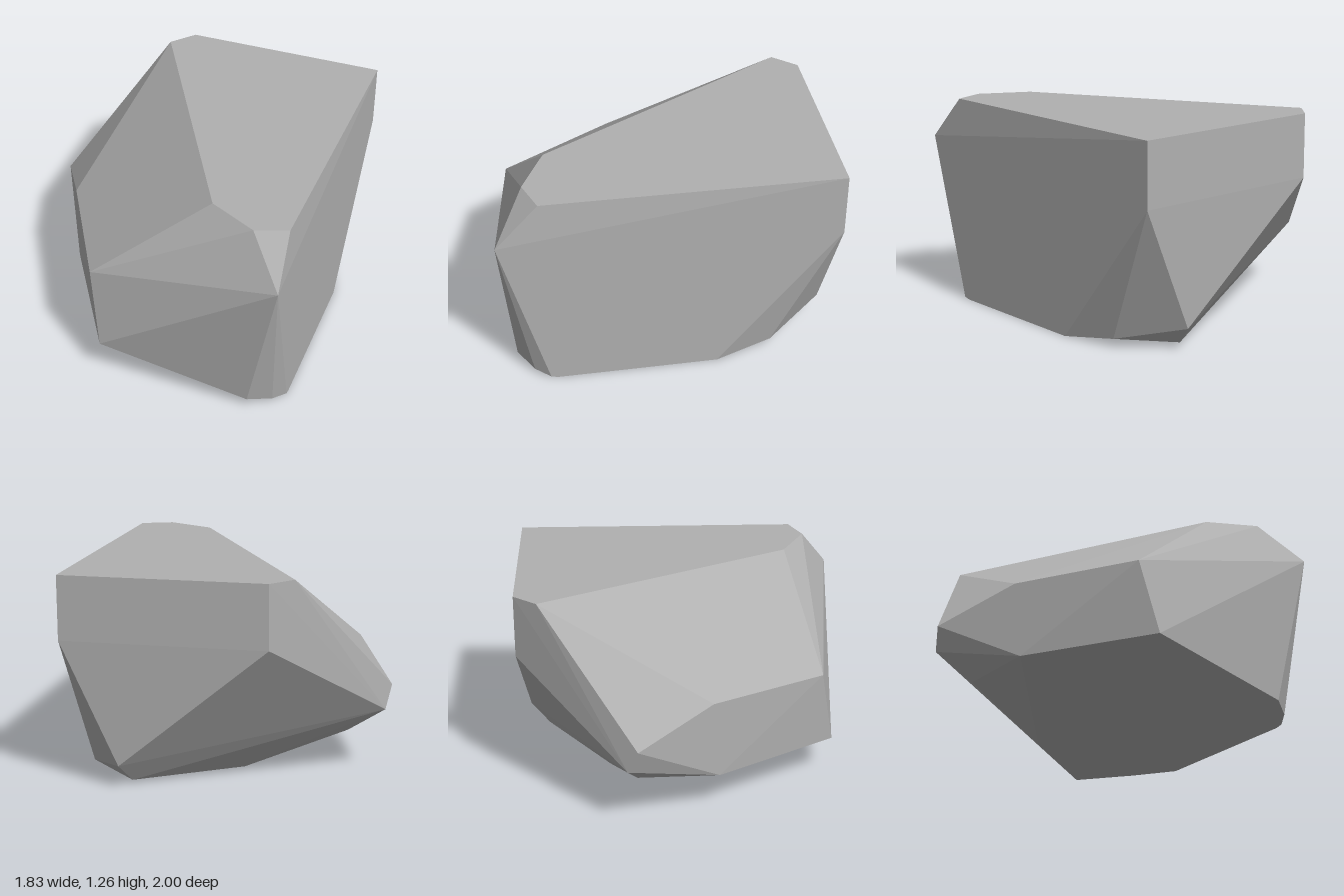
import * as THREE from 'three';
import { ConvexGeometry } from 'three/addons/geometries/ConvexGeometry.js';

export function createModel() {
  const group = new THREE.Group();
  group.name = 'rock';
  const stoneGrey = new THREE.MeshStandardMaterial({ color: 0xb0b0b0, flatShading: true });
  stoneGrey.name = 'stone grey';

  // Flat top: [x, z] outline at one height
  const top = [
    [0.91, -1], [-0.31, -1], [-0.43, -0.86], [0.41, 0.67], [0.7, 0.82], [0.89, 0.75],
  ].map(([x, z]) => [x, 1.26, z]);

  // Corners around the sides
  const sides = [
    [0.91, 1, 1], [0.91, 0.88, -1], [-0.31, 0.88, -1],
    [-0.28, 0.7, 0.85], [-0.67, 0.71, 0.16], [-0.92, 0.53, -0.29], [-0.89, 0.39, -0.35],
    [-0.2, 0.23, 0.93], [-0.65, 0.23, 0.2], [-0.66, 0.23, -0.29], [0.58, 0.14, -0.97],
  ];

  // Chipped lower edge and the base
  const base = [
    [0.72, 0.06, 0.9], [0.85, 0.03, 0.81], [0.91, 0.01, 0.72], [0.91, 0, 0.68],
    [0.91, 0, -0.28], [0.83, 0.05, -0.62], [0.53, 0.02, -0.85], [-0.06, 0.01, -0.45],
  ];

  const corners = [...top, ...sides, ...base].map((p) => new THREE.Vector3(...p));
  const boulder = new THREE.Mesh(new ConvexGeometry(corners), stoneGrey);
  boulder.name = 'boulder';
  group.add(boulder);
  return group;
}
